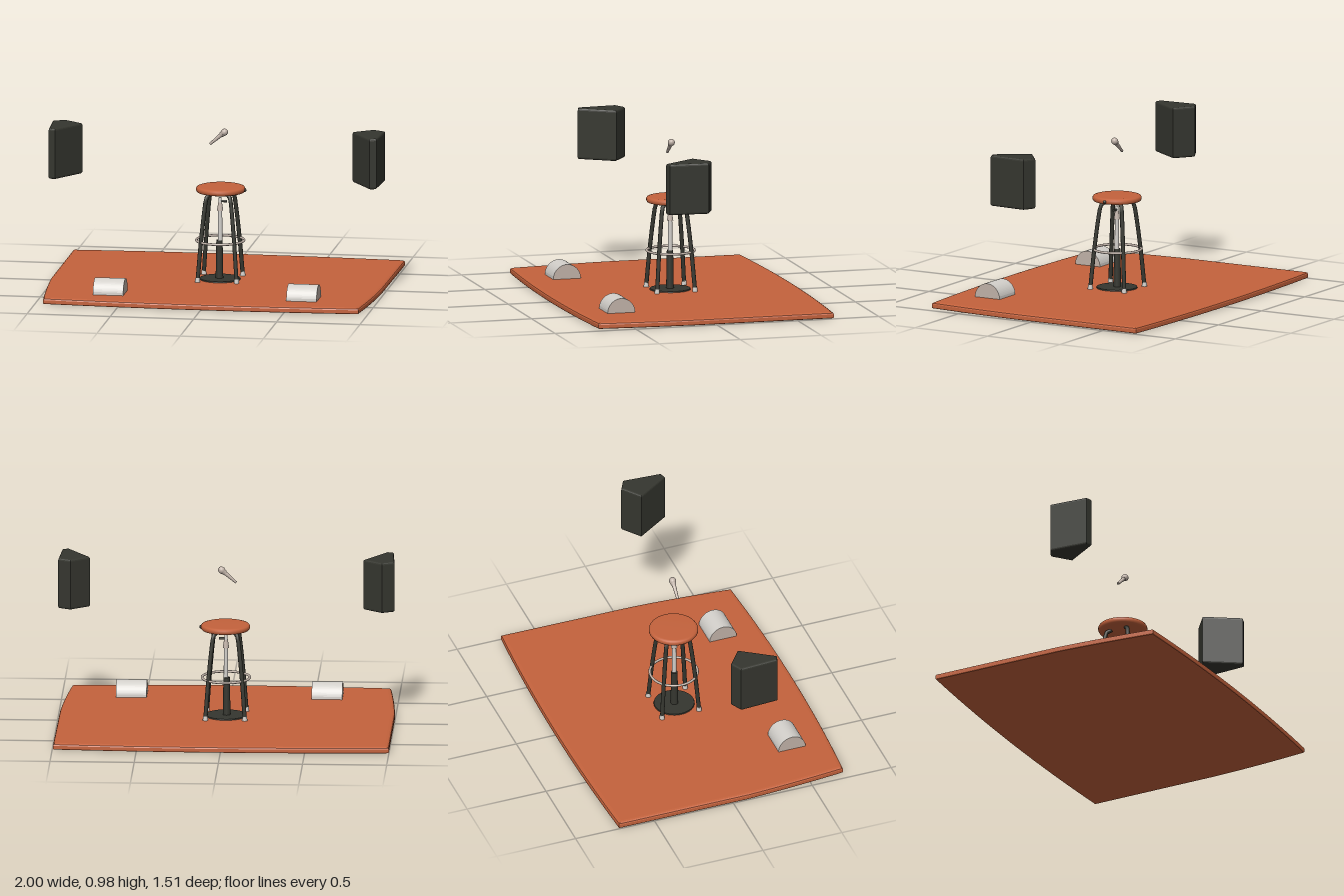
import * as THREE from 'three';

const mat = (name, color, side = THREE.FrontSide) => {
  const m = new THREE.MeshStandardMaterial({ color, side });
  m.name = name;
  return m;
};

export function createModel() {
  const orange = mat('orange', 0xc4623c);
  const dark = mat('charcoal', 0x35362f);
  const white = mat('offWhite', 0xd3d0cb);
  const metal = mat('warmMetal', 0xc0b2a8);
  const model = new THREE.Group();

  const add = (parent, name, geo, material, x = 0, y = 0, z = 0) => {
    const mesh = new THREE.Mesh(geo, material);
    mesh.name = name;
    mesh.position.set(x, y, z);
    parent.add(mesh);
    return mesh;
  };
  const group = (name) => {
    const g = new THREE.Group();
    g.name = name;
    model.add(g);
    return g;
  };
  // Extrudes a plan outline, given as [x, z] points, upwards
  const slab = (shape, depth, bevel, size) => {
    const geo = new THREE.ExtrudeGeometry(shape, {
      depth, bevelThickness: bevel, bevelSize: size, bevelOffset: -size, bevelSegments: 3, curveSegments: 20,
    });
    return geo.rotateX(-Math.PI / 2).translate(0, bevel, 0);
  };
  const rod = (points, radius, sides = 10) =>
    new THREE.TubeGeometry(new THREE.CatmullRomCurve3(points.map((p) => new THREE.Vector3(...p))), 16, radius, sides);

  // Stage floor with bowed front and back edges and a rounded rim
  const outline = new THREE.Shape();
  outline.moveTo(-0.95, -0.715);
  outline.quadraticCurveTo(0, -0.785, 0.945, -0.715);
  outline.quadraticCurveTo(0.98, -0.4, 0.99, -0.1);
  outline.lineTo(0.995, 0.725);
  outline.quadraticCurveTo(0, 0.79, -1, 0.725);
  outline.lineTo(-1, -0.1);
  outline.quadraticCurveTo(-0.985, -0.4, -0.95, -0.715);
  const floor = slab(outline, 0.012, 0.014, 0.025);
  const fp = floor.attributes.position;
  for (let i = 0; i < fp.count; i++) {
    // flatten the lower rim
    if (fp.getY(i) < 0.0139) fp.setY(i, fp.getY(i) * 0.4);
    else if (fp.getY(i) < 0.015) fp.setY(i, 0.008);
  }
  floor.computeVertexNormals();
  add(model, 'stageFloor', floor, orange);

  // Stool
  const stool = group('stool');
  const seat = [[0, 0.565], [0.125, 0.565], [0.14, 0.569], [0.146, 0.578], [0.146, 0.59], [0.141, 0.598], [0.128, 0.602], [0, 0.602]];
  add(stool, 'seat', new THREE.LatheGeometry(seat.map((p) => new THREE.Vector2(...p)), 40), orange, 0.003, 0, -0.003);
  add(stool, 'seatKnob', new THREE.SphereGeometry(0.011, 12, 8), dark, 0.147, 0.582, -0.003);
  add(stool, 'footRing', new THREE.TorusGeometry(0.142, 0.0075, 10, 48).rotateX(Math.PI / 2), metal, 0, 0.275, -0.003);
  for (const sx of [-1, 1]) {
    for (const sz of [-1, 1]) {
      const at = (r, y) => [sx * r, y, sz * r - 0.003];
      add(stool, 'stoolLeg', rod([at(0.05, 0.564), at(0.07, 0.545), at(0.079, 0.49), at(0.1, 0.275), at(0.116, 0.06)], 0.0125), dark);
      add(stool, 'stoolFoot', new THREE.CylinderGeometry(0.0135, 0.016, 0.026, 12), white, sx * 0.117, 0.053, sz * 0.117 - 0.003);
    }
  }

  // Microphone stand on its round base, under the stool
  const stand = group('microphoneStand');
  add(stand, 'standBase', new THREE.CylinderGeometry(0.12, 0.122, 0.008, 40), dark, 0, 0.043, 0);
  add(stand, 'lowerPole', new THREE.CylinderGeometry(0.019, 0.023, 0.23, 16), dark, -0.004, 0.16, 0);
  add(stand, 'upperPole', new THREE.CylinderGeometry(0.0125, 0.0135, 0.2, 16), white, 0, 0.37, 0);
  add(stand, 'poleClamp', new THREE.CylinderGeometry(0.011, 0.019, 0.05, 16), metal, 0, 0.48, 0);
  add(stand, 'poleTip', new THREE.CylinderGeometry(0.008, 0.011, 0.03, 12), white, 0, 0.52, 0);
  add(stand, 'clampKnob', new THREE.CylinderGeometry(0.007, 0.007, 0.035, 10).rotateZ(Math.PI / 2), dark, 0.024, 0.512, 0);

  // Hovering microphone, tilted
  const mic = group('microphone');
  mic.position.set(0.025, 0.929, 0);
  mic.rotation.z = -0.86;
  add(mic, 'microphoneHead', new THREE.SphereGeometry(0.021, 20, 14).scale(1, 1.1, 1), metal);
  add(mic, 'microphoneCollar', new THREE.CylinderGeometry(0.018, 0.014, 0.015, 16), metal, 0, -0.02, 0);
  add(mic, 'microphoneHandle', new THREE.CylinderGeometry(0.0125, 0.0075, 0.09, 16), metal, 0, -0.068, 0);

  // Half-round floor monitors
  for (const side of [-1, 1]) {
    const monitor = group('floorMonitor');
    const dome = new THREE.Shape();
    dome.moveTo(-0.085, 0);
    dome.lineTo(0.085, 0);
    dome.lineTo(0.084, 0.02);
    dome.bezierCurveTo(0.074, 0.062, 0.04, 0.09, 0, 0.09);
    dome.bezierCurveTo(-0.04, 0.09, -0.074, 0.062, -0.084, 0.02);
    const geo = new THREE.ExtrudeGeometry(dome, { depth: 0.182, bevelEnabled: false, curveSegments: 14 });
    geo.translate(0, 0, -0.091).rotateY(Math.PI / 2);
    add(monitor, 'monitorShell', geo, [metal, white], side * 0.581, 0.037, 0.495);
  }

  // Hanging wedge speakers, mirrored
  for (const side of [-1, 1]) {
    const plan = [[0.925, 0.012], [0.812, 0.098], [0.945, 0.298], [0.985, 0.285], [0.999, 0.05]];
    const shape = new THREE.Shape(plan.map(([x, z]) => new THREE.Vector2(side * x, -z)));
    add(model, side > 0 ? 'leftSpeaker' : 'rightSpeaker', slab(shape, 0.28, 0.013, 0.01), dark, 0, 0.672, 0);
  }
  return model;
}
